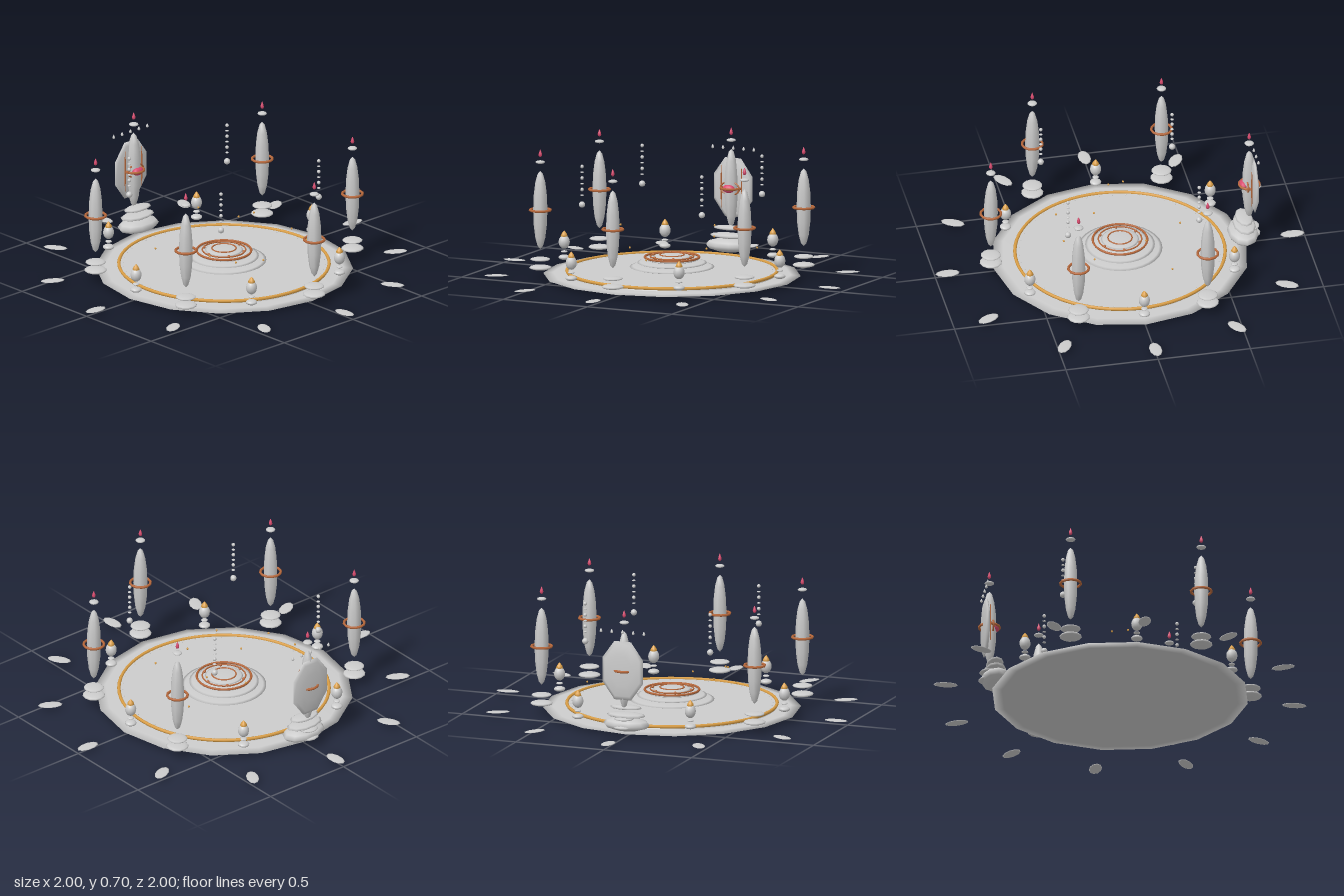
import * as THREE from 'three';

const grey = new THREE.MeshStandardMaterial({ color: 0xcccccc });
const gold = new THREE.MeshStandardMaterial({ color: 0xdca047 });
const copper = new THREE.MeshStandardMaterial({ color: 0xb8693c });
const pink = new THREE.MeshStandardMaterial({ color: 0xd94a6e });

const add = (parent, name, geometry, material, x, y, z) => {
  const mesh = new THREE.Mesh(geometry, material);
  mesh.name = name;
  mesh.position.set(x, y, z);
  parent.add(mesh);
  return mesh;
};

// Squashed or stretched low-poly sphere, the basic shape of most parts
const blob = (parent, name, [rx, ry, rz], [x, y, z], material = grey, sides = 12, rows = 8) =>
  add(parent, name, new THREE.SphereGeometry(1, sides, rows).scale(rx, ry, rz), material, x, y, z);

// Horizontal ring
const ring = (parent, name, radius, tube, y, material, sides = 48) =>
  add(parent, name, new THREE.TorusGeometry(radius, tube, 6, sides).rotateX(Math.PI / 2), material, 0, y, 0);

// Flame or drop pointing up, standing on y
const drop = (parent, name, r, h, [x, y, z], material, sides = 8) => {
  const profile = [[0, 0], [0.7, 0.1], [1, 0.3], [0.75, 0.55], [0.3, 0.85], [0, 1]]
    .map(([a, b]) => new THREE.Vector2(a * r, b * h));
  return add(parent, name, new THREE.LatheGeometry(profile, sides), material, x, y, z);
};

// Calls build(group) for count groups spaced evenly round the centre
const around = (parent, name, count, radius, start, build) => {
  for (let i = 0; i < count; i++) {
    const a = start + (i / count) * Math.PI * 2;
    const g = new THREE.Group();
    g.name = name;
    g.position.set(Math.cos(a) * radius, 0, Math.sin(a) * radius);
    g.rotation.y = -a;
    build(g);
    parent.add(g);
  }
};

function buildPillar(g) {
  blob(g, 'pillarLowerFoot', [0.06, 0.013, 0.06], [0, 0.06, 0]);
  blob(g, 'pillarUpperFoot', [0.054, 0.01, 0.054], [0, 0.105, 0]);
  blob(g, 'pillarShaft', [0.038, 0.21, 0.038], [0, 0.37, 0], grey, 8, 8);
  ring(g, 'pillarBand', 0.055, 0.007, 0.37, copper, 12);
  blob(g, 'pillarCap', [0.026, 0.009, 0.026], [0, 0.628, 0], grey, 10, 6);
  drop(g, 'pillarFlame', 0.01, 0.042, [0, 0.654, 0], pink);
}

function buildLamp(g) {
  blob(g, 'lampFoot', [0.031, 0.014, 0.031], [0, 0.057, 0]);
  blob(g, 'lampNeck', [0.018, 0.006, 0.018], [0, 0.088, 0]);
  blob(g, 'lampGlobe', [0.03, 0.037, 0.03], [0, 0.14, 0]);
  drop(g, 'lampFlame', 0.019, 0.042, [0, 0.16, 0], gold, 10);
}

function buildBeadString(g) {
  blob(g, 'stringBall', [0.017, 0.017, 0.017], [0, 0.42, 0], grey, 10, 8);
  for (let i = 0; i < 6; i++) {
    const flat = i % 2 === 0;
    blob(g, 'stringBead', [0.01, flat ? 0.004 : 0.01, 0.01], [0, 0.47 + i * 0.031, 0], grey, 8, 6);
  }
}

// Eight-sided standing slab with an eye in front, on stacked stones
function buildPortal(parent) {
  const g = new THREE.Group();
  g.name = 'portal';
  parent.add(g);
  blob(g, 'portalLowerStone', [0.13, 0.037, 0.082], [0, 0.068, -0.665], grey, 10, 6);
  blob(g, 'portalMiddleStone', [0.11, 0.014, 0.06], [0, 0.118, -0.672], grey, 10, 6);
  blob(g, 'portalUpperStone', [0.09, 0.012, 0.046], [0, 0.16, -0.671], grey, 10, 6);

  const slab = new THREE.SphereGeometry(1, 8, 6)
    .rotateX(Math.PI / 2).rotateZ(Math.PI / 8).scale(0.124, 0.172, 0.02);
  add(g, 'portalSlab', slab, grey, 0, 0.37, -0.722);

  const rim = new THREE.TorusGeometry(1, 0.1, 6, 20).scale(0.055, 0.036, 0.05);
  add(g, 'eyeRim', rim, copper, 0, 0.37, -0.685);
  blob(g, 'eyeGem', [0.036, 0.022, 0.022], [0, 0.37, -0.668], pink);
  for (const side of [-1, 1]) {
    blob(g, 'portalRod', [0.004, 0.115, 0.004], [side * 0.06, 0.375, -0.702], copper, 6, 6);
  }
  for (let i = -2; i <= 2; i++) {
    drop(g, 'portalDrop', 0.008, 0.024, [i * 0.061, 0.57, -0.725], grey);
  }
}

// Low tiers with copper rings in the middle of the floor
function buildCentre(parent) {
  const g = new THREE.Group();
  g.name = 'centrepiece';
  parent.add(g);
  [[0.225, 0.058], [0.185, 0.08], [0.145, 0.1], [0.1, 0.112]].forEach(([r, y]) =>
    blob(g, 'tier', [r, 0.012, r], [0, y, 0], grey, 32, 8));
  ring(g, 'outerTierRing', 0.145, 0.006, 0.11, copper);
  ring(g, 'middleTierRing', 0.115, 0.004, 0.114, copper);
  ring(g, 'innerTierRing', 0.064, 0.004, 0.122, copper);
  around(g, 'tierStud', 6, 0.11, 0, (s) =>
    blob(s, 'stud', [0.008, 0.008, 0.008], [0, 0.115, 0], copper, 8, 6));
}

export function createModel() {
  const model = new THREE.Group();
  model.name = 'courtyard';

  // Base and floor
  blob(model, 'base', [0.685, 0.015, 0.685], [0, 0.015, 0], grey, 16, 8);
  add(model, 'floor', new THREE.CylinderGeometry(0.555, 0.56, 0.014, 48), grey, 0, 0.028, 0);
  ring(model, 'floorRing', 0.558, 0.009, 0.037, gold, 64);
  around(model, 'floorDots', 48, 0.535, 0, (g) =>
    blob(g, 'floorDot', [0.003, 0.003, 0.003], [0, 0.036, 0], grey, 6, 4));

  buildCentre(model);
  around(model, 'petals', 12, 0.934, 0, (g) =>
    blob(g, 'petal', [0.066, 0.003, 0.034], [0, 0.02, 0], grey, 10, 6));
  around(model, 'pillar', 6, 0.7, Math.PI / 6, buildPillar);
  around(model, 'lamp', 6, 0.64, 0, buildLamp);
  around(model, 'beadString', 4, 0.503, Math.PI / 4, buildBeadString);
  buildPortal(model);

  // Floating sparks
  [[-0.405, 0.2, -0.1], [-0.305, 0.26, 0], [-0.2, 0.18, 0.305], [0, 0.14, 0.305], [-0.2, 0.16, 0.1],
    [0.1, 0.24, -0.305], [0.2, 0.22, -0.1], [0.305, 0.21, 0.2], [0.405, 0.16, -0.2]]
    .forEach((p) => blob(model, 'spark', [0.006, 0.006, 0.006], p, gold, 6, 4));

  return model;
}
